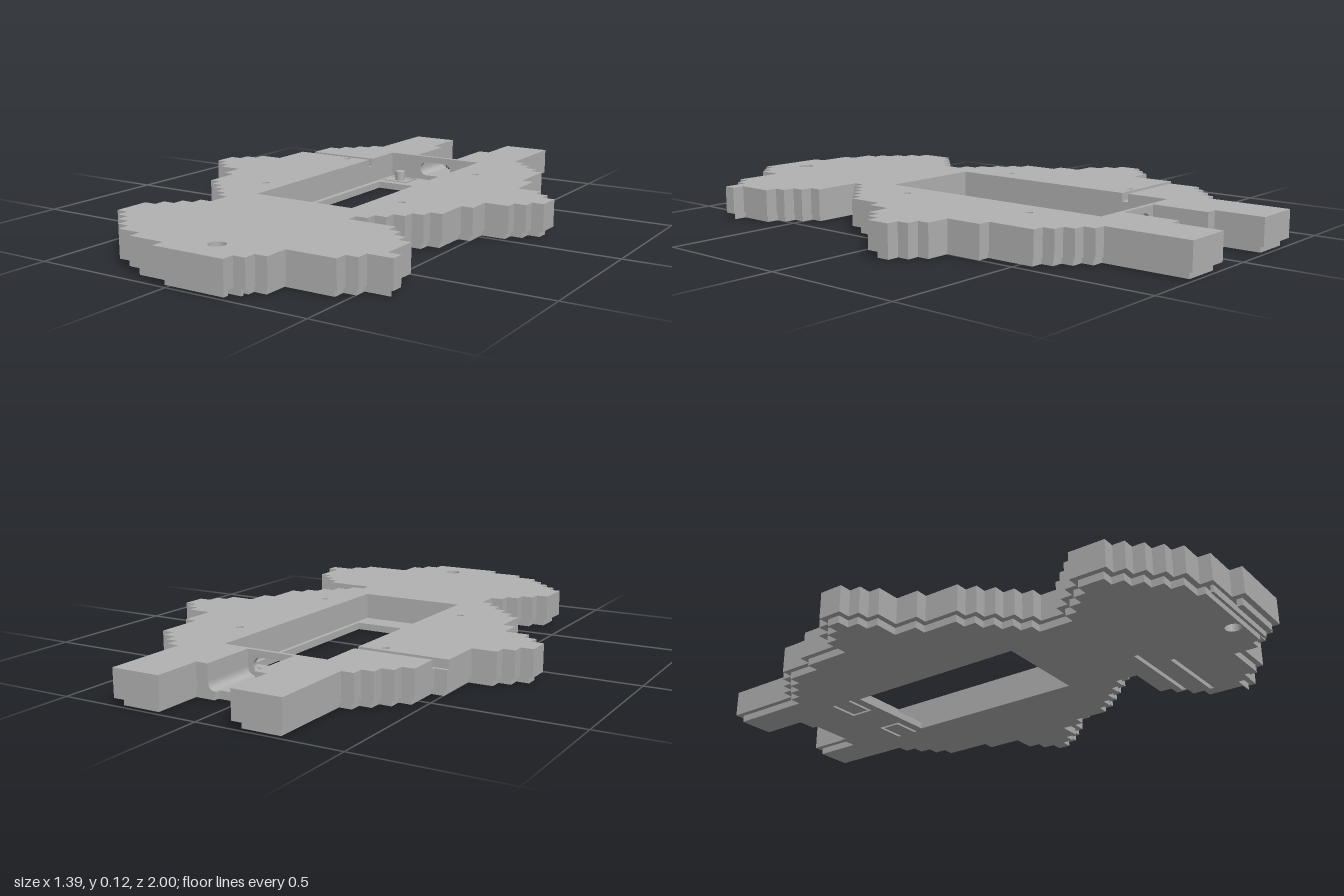
import * as THREE from 'three';

const U = 2 / 46; // step size of the jagged outline

// Stepped edge: each entry is [x, z where that column ends], in steps
function steps(start, runs) {
  const pts = [];
  let z = start;
  for (const [x, end] of runs) {
    pts.push([x * U, z * U - 1], [x * U, end * U - 1]);
    z = end;
  }
  return pts;
}

const left = steps(0, [[-7, 7], [-8, 8], [-9, 9], [-10, 10], [-11, 13], [-12, 17], [-14, 18], [-15, 19],
  [-16, 21], [-15, 22], [-14, 23], [-12, 25], [-11, 28], [-10, 29], [-9, 30], [-8, 31], [-7, 32], [-6, 34],
  [-7, 35], [-8, 36], [-9, 37], [-10, 40], [-9, 41], [-8, 42], [-7, 43], [-6, 44], [-4, 45], [-1, 46]]);
const right = steps(46, [[5, 45], [6, 44], [7, 42], [11, 41], [12, 40], [14, 39], [13, 36], [12, 35],
  [11, 34], [10, 33], [6, 32], [7, 31], [8, 30], [9, 29], [10, 28], [11, 25], [12, 23], [14, 22],
  [15, 21], [16, 19], [15, 18], [14, 17], [12, 14], [11, 10], [10, 9], [9, 8], [8, 7], [7, 0]]);

// Flat slab from [x, z] points between two heights
function slab(pts, y0, y1, holes = []) {
  const toV = ([x, z]) => new THREE.Vector2(x, -z);
  const shape = new THREE.Shape(pts.map(toV));
  for (const h of holes) shape.holes.push(new THREE.Path(h.map(toV)));
  return new THREE.ExtrudeGeometry(shape, { depth: y1 - y0, bevelEnabled: false })
    .rotateX(-Math.PI / 2).translate(0, y0, 0);
}

const rect = (x0, x1, z0, z1) => [[x0, z0], [x1, z0], [x1, z1], [x0, z1]];

const circle = (x, z, r, n = 24) => Array.from({ length: n }, (_, i) => {
  const a = (i / n) * Math.PI * 2;
  return [x + r * Math.cos(a), z + r * Math.sin(a)];
});

// Shrinks a right-angled outline
function inset(pts, d) {
  const n = pts.length;
  const inward = (a, b) => [Math.sign(b[1] - a[1]), -Math.sign(b[0] - a[0])];
  return pts.map((p, i) => {
    const a = inward(pts[(i + n - 1) % n], p);
    const b = inward(p, pts[(i + 1) % n]);
    return [p[0] + d * (a[0] + b[0]), p[1] + d * (a[1] + b[1])];
  });
}

export function createModel() {
  const group = new THREE.Group();
  const grey = new THREE.MeshStandardMaterial({ color: 0xb2b2b2 });
  grey.name = 'grey';
  const add = (name, geometry) => {
    const mesh = new THREE.Mesh(geometry, grey);
    mesh.name = name;
    group.add(mesh);
    return mesh;
  };

  const FLOOR = 0.025, MID = 0.09, TOP = 0.12, C = 0.0875;
  const cableHole = circle(0.105, 0.888, 0.028);
  const screws = [[-0.285, -0.395], [0.285, -0.395], [-0.285, 0.145], [0.285, 0.145]];

  // Body, open along the rear channel into the central recess
  const rightInner = [[0.13, -1], [0.13, -0.825], [C, -0.825], [C, -0.605], [0.19, -0.605], [0.19, 0.305], [-0.2, 0.305]];
  const leftInner = [[-0.2, -0.605], [-C, -0.605], [-C, -0.825], [-0.13, -0.825], [-0.13, -1]];
  add('body', slab([...left, ...right, ...rightInner, ...leftInner], FLOOR, MID, [cableHole]));

  // Top layer, split by the narrow groove on the right-hand side
  add('topLayerRear', slab([...left.slice(0, 9), [-11 * U, -0.447], [-0.2, -0.447], ...leftInner], MID, TOP));
  add('topLayer', slab([[-12 * U, -0.422], ...left.slice(11), ...right, ...rightInner, [-0.2, -0.422]],
    MID, TOP, [cableHole, ...screws.map(([x, z]) => circle(x, z, 0.013, 16))]));

  // Base plate, slightly inset, with window, spring tab slots and underside grooves
  const notch = [[0.13, -1], [0.13, -0.825], [0.06, -0.825], [0.06, -0.805],
    [-0.06, -0.805], [-0.06, -0.825], [-0.13, -0.825], [-0.13, -1]];
  const base = inset([...left, ...right, ...notch], 0.02).map(([x, z]) => [x, Math.min(z, 0.92)]);
  const tabSlot = (s) => [[0.19, -0.597], [0.075, -0.597], [0.075, -0.505], [0.19, -0.505],
    [0.19, -0.517], [0.087, -0.517], [0.087, -0.585], [0.19, -0.585]].map(([x, z]) => [x * s, z]);
  add('basePlate', slab(base, 0, FLOOR, [
    rect(-0.18, 0.175, -0.47, 0.215), tabSlot(1), tabSlot(-1), cableHole,
    rect(0.1, 0.45, 0.525, 0.54), rect(0.2, 0.5, 0.61, 0.625),
  ]));
  add('frontRibInner', slab(rect(-0.15, 0.235, 0.935, 0.945), 0, FLOOR));
  add('frontRibOuter', slab(rect(-0.02, 0.2, 0.96, 0.98), 0, FLOOR));

  // Pegs on the spring tabs
  for (const s of [-1, 1]) {
    add('tabPeg', new THREE.CylinderGeometry(0.02, 0.02, 0.035, 24)).position.set(s * 0.13, FLOOR + 0.0175, -0.55);
  }

  // Rear channel: floor and rounded lower corners
  add('channelFloor', slab(rect(-C, C, -0.805, -0.605), FLOOR, 0.035));
  for (const s of [-1, 1]) {
    const corner = new THREE.Shape();
    corner.moveTo(s * C, FLOOR);
    corner.lineTo(s * 0.0575, FLOOR);
    corner.lineTo(s * 0.0575, 0.035);
    corner.quadraticCurveTo(s * C, 0.035, s * C, 0.065);
    add('channelCorner', new THREE.ExtrudeGeometry(corner, { depth: 0.205, bevelEnabled: false }).translate(0, 0, -0.825));
  }

  // Thin wall with a rounded connector opening
  const wall = new THREE.Shape([[-C, FLOOR], [C, FLOOR], [C, TOP], [-C, TOP]].map(([x, y]) => new THREE.Vector2(x, y)));
  const opening = new THREE.Path();
  opening.absarc(0.04, 0.07, 0.027, -Math.PI / 2, Math.PI / 2);
  opening.absarc(-0.04, 0.07, 0.027, Math.PI / 2, Math.PI * 1.5);
  wall.holes.push(opening);
  add('connectorWall', new THREE.ExtrudeGeometry(wall, { depth: 0.015, bevelEnabled: false }).translate(0, 0, -0.62));

  return group;
}
